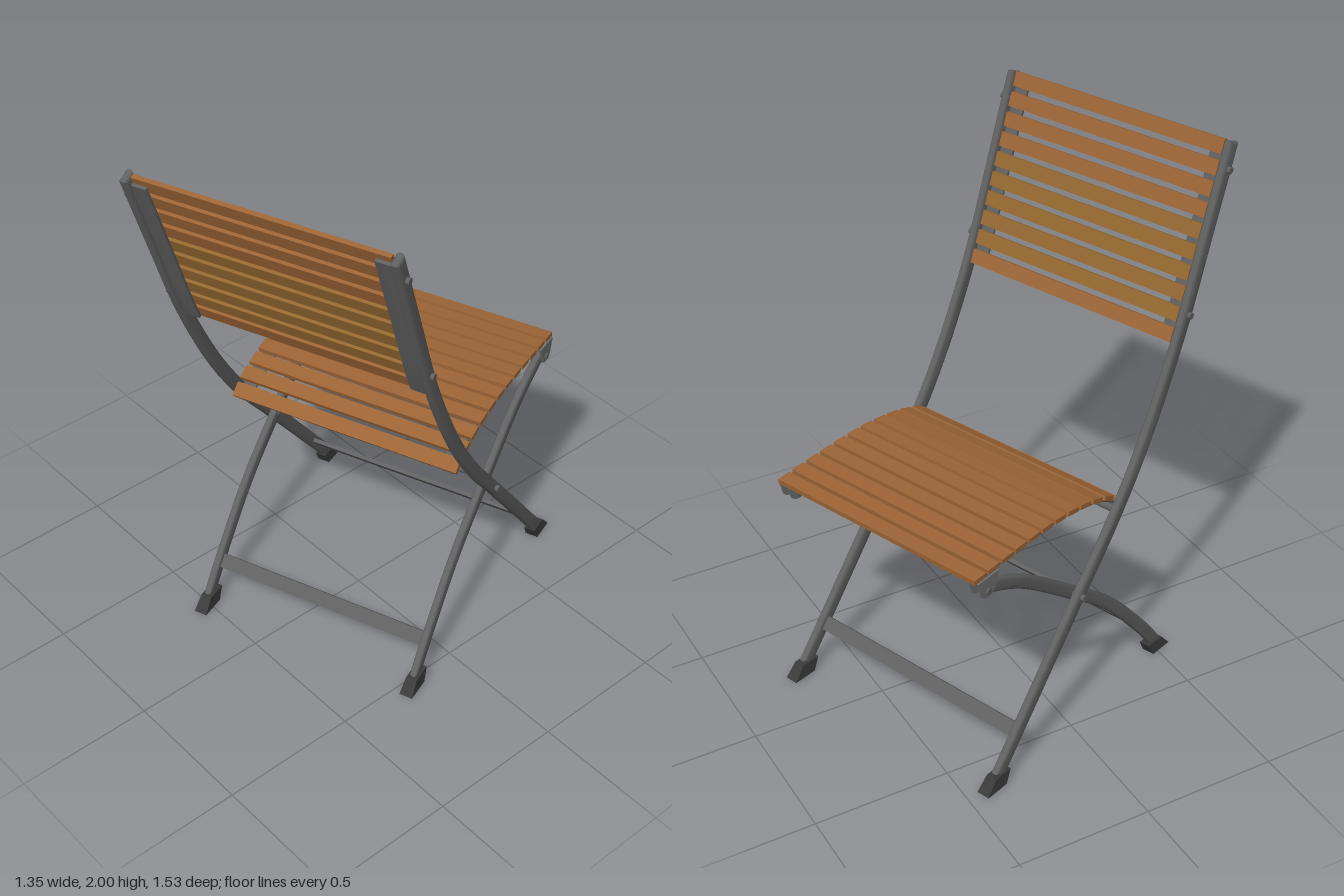
import * as THREE from 'three';
import { toCreasedNormals } from 'three/addons/utils/BufferGeometryUtils.js';

const material = (name, color) => {
  const m = new THREE.MeshStandardMaterial({ color });
  m.name = name;
  return m;
};

// Side-on paths as [z, y] points
const spline = (pts) => new THREE.SplineCurve(pts.map(([z, y]) => new THREE.Vector2(z, y)));
const railPath = spline([[-0.56, 0.05], [-0.35, 0.305], [-0.14, 0.56], [0.045, 0.785], [0.21, 1.035], [0.37, 1.35], [0.495, 1.67], [0.612, 1.977]]);
const legPath = spline([[0.36, 0.05], [0.285, 0.15], [0.08, 0.38], [-0.14, 0.56], [-0.4, 0.755], [-0.59, 0.845]]);
const seatPath = spline([[-0.66, 0.896], [-0.45, 0.91], [-0.25, 0.915], [-0.1, 0.9], [0, 0.875], [0.07, 0.845], [0.125, 0.8]]);

// Fraction along a rising path at which it reaches height y
function atHeight(path, y) {
  let lo = 0, hi = 1;
  for (let i = 0; i < 30; i++) {
    const mid = (lo + hi) / 2;
    if (path.getPointAt(mid).y < y) lo = mid; else hi = mid;
  }
  return lo;
}

// Bar that follows a path: width in the side plane, depth across x
function bar(path, width, depth, bevel, from = 0, to = 1, shift = 0) {
  const a = [], b = [], n = 28, half = width / 2 - bevel;
  for (let i = 0; i <= n; i++) {
    const u = from + (to - from) * i / n;
    const p = path.getPointAt(u), t = path.getTangentAt(u);
    const side = new THREE.Vector2(-t.y, t.x);
    a.push(p.clone().addScaledVector(side, shift + half));
    b.unshift(p.clone().addScaledVector(side, shift - half));
  }
  const inner = depth - 2 * bevel;
  const geo = new THREE.ExtrudeGeometry(new THREE.Shape([...a, ...b]), {
    depth: inner, bevelEnabled: true, bevelSize: bevel, bevelThickness: bevel, bevelSegments: 3,
  });
  geo.translate(0, 0, -inner / 2).rotateY(-Math.PI / 2);
  return toCreasedNormals(geo, 0.7);
}

export function createModel() {
  const steel = material('steel', 0x606060);
  const bracketSteel = material('bracket steel', 0x707070);
  const rubber = material('rubber', 0x3a3a3a);
  const wood = material('wood', 0x9c6436);
  const paleWood = material('golden wood', 0x946830);

  const model = new THREE.Group();
  const chair = new THREE.Group();
  chair.name = 'foldingChair';
  chair.rotation.y = THREE.MathUtils.degToRad(20);
  model.add(chair);

  const add = (name, geo, mat, x = 0, y = 0, z = 0) => {
    const mesh = new THREE.Mesh(geo, mat);
    mesh.name = name;
    mesh.position.set(x, y, z);
    chair.add(mesh);
    return mesh;
  };

  // Crosswise board lying along a path, moved off it by shift
  const board = (name, path, u, size, mat, shift = 0) => {
    const p = path.getPointAt(u), t = path.getTangentAt(u);
    const side = new THREE.Vector2(-t.y, t.x).multiplyScalar(shift);
    const mesh = add(name, new THREE.BoxGeometry(...size), mat, 0, p.y + side.y, p.x + side.x);
    mesh.rotation.x = Math.atan2(-t.y, t.x);
  };

  // Rubber foot leaning with its leg
  const foot = (lean) => {
    const geo = new THREE.BoxGeometry(0.05, 0.05, 0.095).toNonIndexed();
    const pos = geo.attributes.position;
    for (let i = 0; i < pos.count; i++) {
      const y = pos.getY(i), taper = y > 0 ? 0.82 : 1;
      pos.setXYZ(i, pos.getX(i) * taper, y, pos.getZ(i) * taper + lean * y);
    }
    geo.computeVertexNormals();
    return geo;
  };

  const bolt = (name, x, y, z, length) =>
    add(name, new THREE.CylinderGeometry(0.012, 0.012, length, 12).rotateZ(Math.PI / 2), steel, x, y, z);

  const backFrom = atHeight(railPath, 1.335), backTo = atHeight(railPath, 1.965);

  for (const s of [1, -1]) {
    // Long rails that carry the backrest, and the crossing legs
    add('backRail', bar(railPath, 0.052, 0.03, 0.012), steel, s * 0.465);
    add('crossingLeg', bar(legPath, 0.05, 0.028, 0.011), steel, s * 0.43);
    add('railFoot', foot(0.7), rubber, s * 0.465, 0.025, -0.578);
    add('legFoot', foot(-0.7), rubber, s * 0.43, 0.025, 0.37);

    // Flat strips the slats are fixed to
    add('backrestStrip', bar(railPath, 0.012, 0.055, 0.002, backFrom, backTo, -0.008), steel, s * 0.42);
    add('seatStrip', bar(seatPath, 0.012, 0.05, 0.002, 0.04, 0.99, -0.014), steel, s * 0.405);

    // Bracket plates on both sides of each leg top
    const tab = new THREE.Shape();
    tab.moveTo(-0.645, 0.89).lineTo(-0.54, 0.895).lineTo(-0.56, 0.84);
    tab.quadraticCurveTo(-0.57, 0.812, -0.6, 0.815).quadraticCurveTo(-0.63, 0.82, -0.633, 0.845);
    tab.closePath();
    const tabGeo = new THREE.ExtrudeGeometry(tab, { depth: 0.006, bevelEnabled: false })
      .translate(0, 0, -0.003).rotateY(-Math.PI / 2);
    for (const x of [0.41, 0.449]) add('seatBracket', tabGeo, bracketSteel, s * x);
    bolt('bracketBolt', s * 0.43, 0.838, -0.595, 0.056);

    // Pivot and backrest bolts
    bolt('pivotBolt', s * 0.452, 0.56, -0.14, 0.085);
    for (const y of [1.43, 1.9]) {
      const p = railPath.getPointAt(atHeight(railPath, y));
      bolt('backrestBolt', s * 0.465, p.y, p.x, 0.055);
    }
  }

  // Flat crossbars between the lower legs, and the rod under the seat back
  board('railCrossbar', railPath, atHeight(railPath, 0.167), [0.92, 0.015, 0.052], steel);
  board('legCrossbar', legPath, 0.1, [0.85, 0.015, 0.052], steel);
  add('seatRod', new THREE.CylinderGeometry(0.014, 0.014, 0.92, 14).rotateZ(Math.PI / 2), steel, 0, 0.798, 0.075);

  // Seat slats
  for (let i = 0; i < 12; i++) {
    board('seatSlat', seatPath, (i + 0.5) / 12, [0.89, 0.018, 0.053], wood);
  }

  // Backrest slats
  for (let i = 0; i < 10; i++) {
    const u = atHeight(railPath, 1.355 + i * 0.0677);
    board('backrestSlat', railPath, u, [0.892, 0.016, 0.052], i > 0 && i < 6 ? paleWood : wood, 0.006);
  }
  return model;
}
